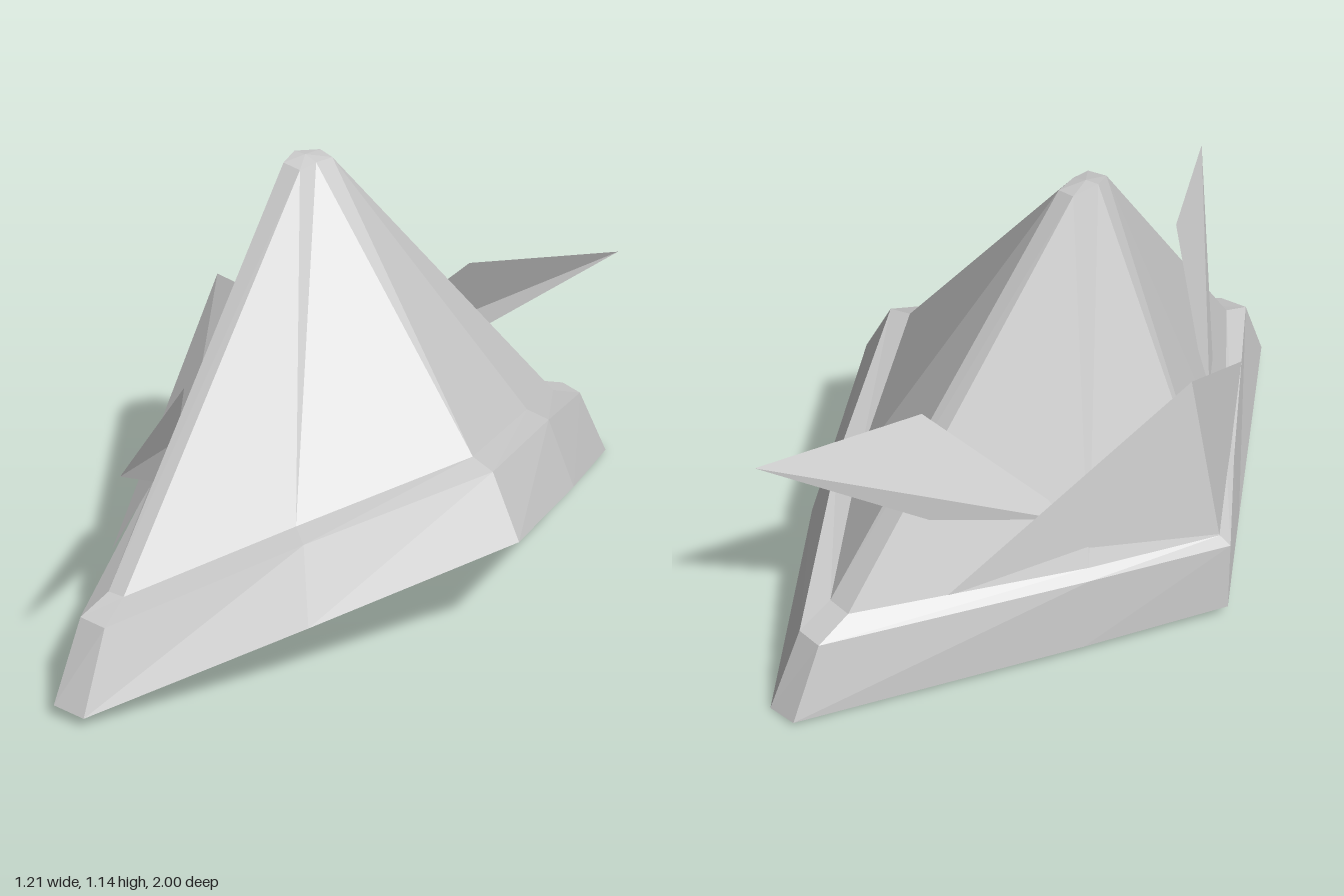
import * as THREE from 'three';

const material = new THREE.MeshStandardMaterial({ color: 0xcccccc, flatShading: true });
const sheetMaterial = new THREE.MeshStandardMaterial({ color: 0xcccccc, flatShading: true, side: THREE.DoubleSide });

// Triangles from a flat list of corner points
function makeMesh(name, corners, mat) {
  const geometry = new THREE.BufferGeometry();
  geometry.setAttribute('position', new THREE.Float32BufferAttribute(corners.flat(), 3));
  geometry.computeVertexNormals();
  const mesh = new THREE.Mesh(geometry, mat);
  mesh.name = name;
  return mesh;
}

// Joins closed loops (listed from underneath to top) with quads
function loft(name, rings) {
  const out = [];
  for (let r = 0; r < rings.length - 1; r++) {
    const a = rings[r], b = rings[r + 1], n = a.length;
    for (let i = 0; i < n; i++) {
      const j = (i + 1) % n;
      out.push(a[i], a[j], b[j], a[i], b[j], b[i]);
    }
  }
  return makeMesh(name, out, material);
}

// Flat thin piece from a convex outline
function sheet(name, pts) {
  const out = [];
  for (let i = 1; i < pts.length - 1; i++) out.push(pts[0], pts[i], pts[i + 1]);
  return makeMesh(name, out, sheetMaterial);
}

export function createModel() {
  const hat = new THREE.Group();
  hat.name = 'hat';

  // Loops run front, right side, back, left side, front
  const rimBottom = [
    [0.125, 0.035, 0.975], [0.39, 0.2, 0.48], [0.605, 0.33, -0.03], [0.34, 0.19, -0.52], [0.035, 0.005, -0.99],
    [-0.055, 0.015, -1], [-0.42, 0.03, -0.33], [-0.605, 0.042, 0.02], [-0.4, 0.04, 0.33], [0.035, 0.04, 0.995],
  ];
  const rimTop = [
    [0.1, 0.24, 0.88], [0.32, 0.385, 0.43], [0.51, 0.49, -0.03], [0.27, 0.375, -0.49], [0.01, 0.21, -0.9],
    [-0.065, 0.21, -0.91], [-0.42, 0.23, -0.31], [-0.605, 0.24, 0.02], [-0.39, 0.245, 0.31], [0.02, 0.24, 0.89],
  ];
  const crownBase = [
    [0.065, 0.275, 0.79], [0.26, 0.4, 0.4], [0.44, 0.505, -0.03], [0.21, 0.39, -0.47], [0, 0.25, -0.8],
    [-0.07, 0.25, -0.81], [-0.4, 0.25, -0.29], [-0.57, 0.255, 0.02], [-0.37, 0.265, 0.3], [0.02, 0.275, 0.8],
  ];
  const fr = [-0.1, 1.13, 0.05], br = [-0.105, 1.13, -0.065];
  const bl = [-0.155, 1.135, -0.07], fl = [-0.155, 1.135, 0.055];
  const peak = [fr, fr, [-0.1, 1.135, -0.005], br, br, bl, bl, [-0.175, 1.145, 0], fl, fl];
  const tip = peak.map(() => [-0.14, 1.145, -0.005]);
  const hollow = peak.map(() => [-0.13, 0.88, 0]);

  hat.add(loft('lining', [hollow, rimBottom]));
  hat.add(loft('brimBand', [rimBottom, rimTop, crownBase]));
  hat.add(loft('crown', [crownBase, peak, tip]));

  // Turned-up flaps on the left half of the outline
  const corner = [-0.57, 0.25, 0.02], point = [-0.48, 0.7, 0];
  hat.add(sheet('frontFlap', [corner, [-0.15, 0.26, 0.65], point]));
  hat.add(sheet('backFlap', [corner, point, [-0.2, 0.24, -0.61]]));

  // Feathers tucked between flap and crown
  hat.add(sheet('frontFeather', [[0.195, 0.7, 0.89], [-0.02, 0.715, 0.51], [-0.33, 0.36, 0.28], [-0.28, 0.29, 0.37]]));
  hat.add(sheet('backFeather', [[0.11, 0.67, -0.92], [-0.07, 0.7, -0.53], [-0.36, 0.36, -0.27], [-0.3, 0.28, -0.35]]));

  return hat;
}
